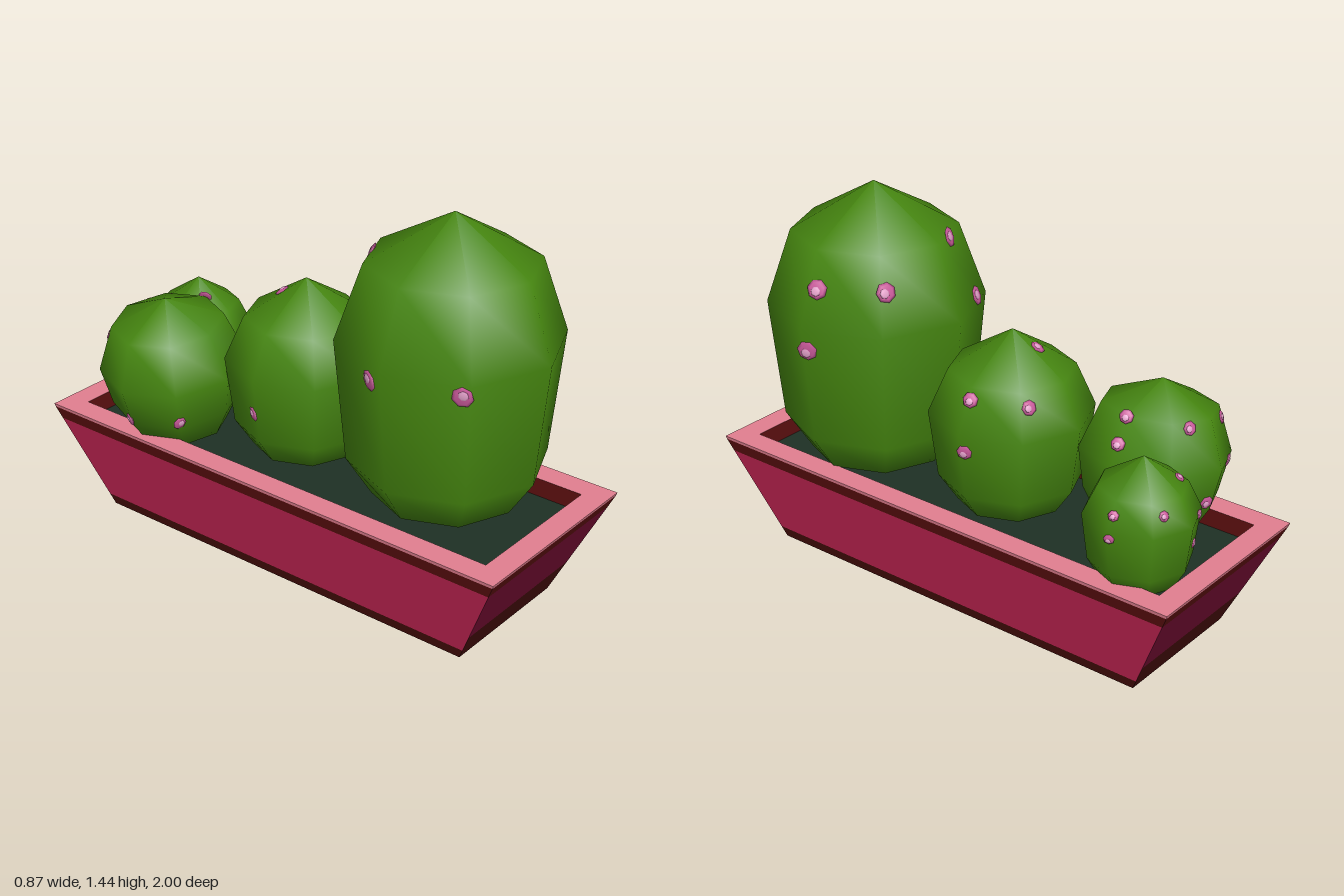
import * as THREE from 'three';

const mat = (name, color, side = THREE.FrontSide) => {
  const m = new THREE.MeshStandardMaterial({ color, side });
  m.name = name;
  return m;
};

export function createModel() {
  const D = THREE.DoubleSide;
  const sidePaint = mat('sideCrimson', 0xcb2757, D);
  const endPaint = mat('endBurgundy', 0x7a0e36, D);
  const trim = mat('trimMaroon', 0x5e1010, D);
  const base = mat('baseMaroon', 0x470d0a, D);
  const rimPaint = mat('rimPink', 0xe27f90, D);
  const soilPaint = mat('soil', 0x1e3024, D);
  const green = mat('cactusGreen', 0x45850f);
  const petal = mat('petalPink', 0xcb5a9c);
  const petalLight = mat('petalLight', 0xe6a3cd);

  const model = new THREE.Group();
  model.name = 'plantedTrough';

  // Four-sided band between two rectangles [halfX, halfZ, y]; sides picks the walls
  const corners = ([x, z, y]) => [[x, y, z], [x, y, -z], [-x, y, -z], [-x, y, z]];
  function band(name, material, low, high, sides = [0, 1, 2, 3]) {
    const a = corners(low), b = corners(high);
    const pos = [], index = [];
    sides.forEach((i, k) => {
      const j = (i + 1) % 4, n = k * 4;
      pos.push(...a[i], ...a[j], ...b[j], ...b[i]);
      index.push(n, n + 1, n + 2, n, n + 2, n + 3);
    });
    const g = new THREE.BufferGeometry();
    g.setAttribute('position', new THREE.Float32BufferAttribute(pos, 3));
    g.setIndex(index);
    g.computeVertexNormals();
    const mesh = new THREE.Mesh(g, material);
    mesh.name = name;
    model.add(mesh);
  }

  // Open-bottomed trough: flared walls in painted bands
  const at = (y) => [0.272 + 0.108 * y / 0.41, 0.81 + 0.19 * y / 0.41, y];
  const LONG = [0, 2], ENDS = [1, 3];
  band('sideBase', base, at(0), at(0.04), LONG);
  band('sideWall', sidePaint, at(0.04), at(0.355), LONG);
  band('endBase', base, at(0), at(0.118), ENDS);
  band('endWall', endPaint, at(0.118), at(0.355), ENDS);
  band('upperTrim', trim, at(0.355), at(0.402));
  band('rimEdge', rimPaint, at(0.402), [0.38, 1, 0.414]);
  band('rimTop', rimPaint, [0.38, 1, 0.414], [0.29, 0.91, 0.414]);
  band('innerWall', trim, [0.29, 0.91, 0.414], [0.29, 0.91, 0.345]);

  const soil = new THREE.Mesh(new THREE.PlaneGeometry(0.66, 1.9), soilPaint);
  soil.name = 'soil';
  soil.rotation.x = -Math.PI / 2;
  soil.position.y = 0.345;
  model.add(soil);

  // Eight-sided cacti: heights pair with the shared radius factors;
  // blooms are [azimuth in degrees, height]
  const factors = [0, 0.66, 0.89, 1, 0.76, 0];
  const cacti = [
    { name: 'tallCactus', x: 0.035, z: 0.52, r: 0.395, ys: [0.33, 0.41, 0.55, 1.0, 1.27, 1.44],
      blooms: [[95, 1.14], [92, 0.92], [138, 1.15], [-49, 0.96], [-159, 1.26], [-148, 1.02], [-100, 0.95]] },
    { name: 'mediumCactus', x: 0.03, z: -0.1, r: 0.295, ys: [0.33, 0.39, 0.49, 0.74, 0.9, 1.04],
      blooms: [[92, 0.86], [93, 0.68], [142, 0.85], [-156, 0.98], [-95, 0.6]] },
    { name: 'leaningCactus', x: -0.165, z: -0.57, r: 0.27, ys: [0.33, 0.39, 0.5, 0.65, 0.82, 0.91], lean: 0.12,
      blooms: [[90, 0.82], [90, 0.73], [154, 0.8], [-140, 0.78], [-45, 0.53], [-150, 0.64], [175, 0.53], [-92, 0.52]] },
    { name: 'smallCactus', x: 0.17, z: -0.75, r: 0.2, ys: [0.33, 0.37, 0.45, 0.62, 0.72, 0.82],
      blooms: [[92, 0.675], [92, 0.6], [150, 0.68], [-140, 0.74], [-150, 0.62], [-155, 0.52], [-100, 0.57]] },
  ];

  const ball = new THREE.SphereGeometry(1, 7, 4);
  for (const c of cacti) {
    const pivotY = 0.6;
    const group = new THREE.Group();
    group.name = c.name;
    group.position.set(c.x, pivotY, c.z);
    group.rotation.z = c.lean || 0;
    model.add(group);

    const profile = c.ys.map((y, i) => new THREE.Vector2(factors[i] * c.r, y - pivotY));
    const body = new THREE.Mesh(new THREE.LatheGeometry(profile, 8), green);
    body.name = 'body';
    group.add(body);

    // Flat blooms seated on the faceted surface
    for (const [deg, h] of c.blooms) {
      const a = THREE.MathUtils.degToRad(deg), y = h - pivotY;
      const i = Math.max(1, profile.findIndex((p) => p.y >= y));
      const p = profile[i - 1], q = profile[i];
      const r = THREE.MathUtils.lerp(p.x, q.x, (y - p.y) / (q.y - p.y));
      const step = Math.PI / 4;
      const off = THREE.MathUtils.euclideanModulo(a, step) - step / 2;
      const rf = r * Math.cos(step / 2) / Math.cos(off);
      const face = a - off;
      const normal = new THREE.Vector3(
        Math.sin(face) * (q.y - p.y), p.x - q.x, Math.cos(face) * (q.y - p.y)).normalize();

      const bloom = new THREE.Group();
      bloom.name = 'bloom';
      bloom.position.set(Math.sin(a) * rf, y, Math.cos(a) * rf);
      bloom.quaternion.setFromUnitVectors(new THREE.Vector3(0, 1, 0), normal);
      const s = 0.095 * c.r;
      const petals = new THREE.Mesh(ball, petal);
      petals.name = 'petals';
      petals.scale.set(s, 0.007, s);
      const heart = new THREE.Mesh(ball, petalLight);
      heart.name = 'bloomCentre';
      heart.scale.set(s * 0.5, 0.004, s * 0.5);
      heart.position.set(s * 0.2, 0.005, 0);
      bloom.add(petals, heart);
      group.add(bloom);
    }
  }
  return model;
}
